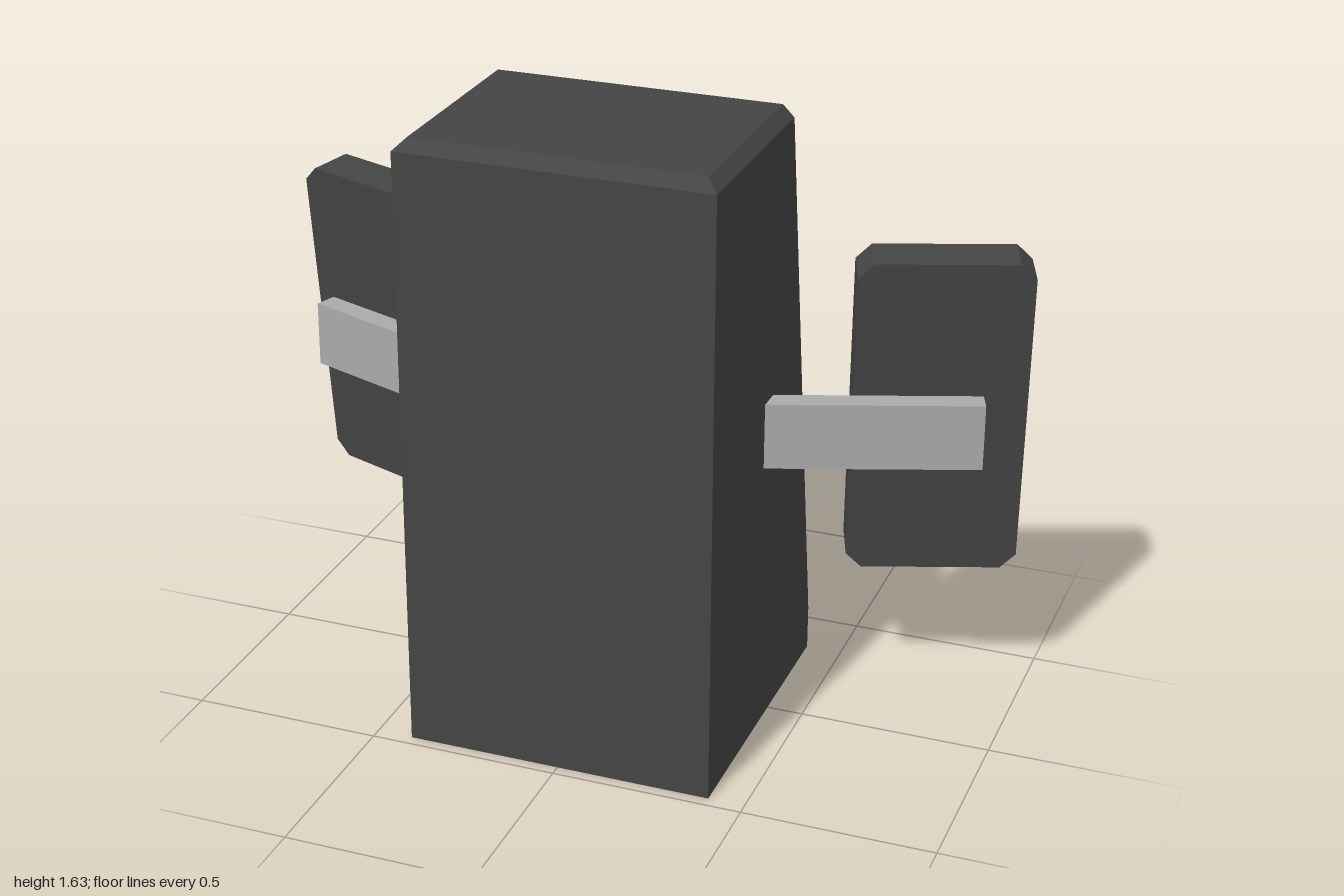
import * as THREE from 'three';
import { ConvexGeometry } from 'three/addons/geometries/ConvexGeometry.js';

const material = (name, color) => new THREE.MeshStandardMaterial({ name, color });
const V = (x, y, z) => new THREE.Vector3(x, y, z);

export function createModel() {
  const casing = material('charcoal casing', 0x444444);
  const rim = material('violet rim', 0x4310c8);
  const coneColor = material('dark violet cone', 0x330d8c);
  const metal = material('light grey bracket', 0xaaaaaa);
  const TILT = THREE.MathUtils.degToRad(5);
  const YAW = THREE.MathUtils.degToRad(20);

  const model = new THREE.Group();
  model.name = 'speakerSet';

  const add = (parent, name, geometry, mat, x = 0, y = 0, z = 0) => {
    const mesh = new THREE.Mesh(geometry, mat);
    mesh.name = name;
    mesh.position.set(x, y, z);
    parent.add(mesh);
    return mesh;
  };

  // Faceted solid of revolution whose axis points along -z
  const turned = (points, sides) => {
    const smooth = new THREE.LatheGeometry(points.map(([r, h]) => new THREE.Vector2(r, h)), sides);
    const g = smooth.toNonIndexed();
    g.rotateX(-Math.PI / 2);
    g.computeVertexNormals();
    return g;
  };

  // Speaker driver: rim with a recessed cone; its face lies at local z = 0
  const driver = (parent, name, r, depth, recess, x, y, z) => {
    const g = new THREE.Group();
    g.name = name;
    g.position.set(x, y, z);
    const inner = r * 0.76, lip = r * 0.7;
    add(g, 'rim', turned([[r, -depth], [r, 0], [inner, 0], [lip, -recess * 0.5]], 12), rim);
    add(g, 'cone', turned([[lip, -recess * 0.5], [0, -recess]], 12), coneColor);
    parent.add(g);
    return g;
  };

  // Main cabinet: flat back, sloping bevelled driver face
  const corners = [];
  for (const s of [-1, 1]) {
    corners.push(
      V(s * 0.405, 0, 0.47), V(s * 0.405, 1.6, 0.47), V(s * 0.375, 1.63, 0.44),
      V(s * 0.375, 1.63, -0.10), V(s * 0.405, 1.6, -0.10), V(s * 0.405, 1.43, -0.10),
      V(s * 0.405, 0.12, -0.345), V(s * 0.405, 0, -0.345),
      V(s * 0.34, 1.525, -0.185), V(s * 0.34, 0.1, -0.43), V(s * 0.34, 0, -0.43),
      V(s * 0.14, 1.45, -0.245), V(s * 0.14, 0.22, -0.43)
    );
  }
  add(model, 'cabinet', new ConvexGeometry(corners), casing);

  // Cabinet drivers and the small round port at the foot
  driver(model, 'largeDriver', 0.285, 0.122, 0.075, 0, 1.155, -0.39).rotation.x = TILT;
  driver(model, 'mediumDriver', 0.2, 0.08, 0.042, 0, 0.583, -0.427).rotation.x = TILT;
  add(model, 'port', turned([[0.085, -0.06], [0.085, 0], [0, 0]], 8), coneColor, 0, 0.12, -0.47);

  // Satellite outline: upright rectangle with clipped corners
  const w = 0.22, h = 0.44, c = 0.04, d = 0.115;
  const outline = new THREE.Shape([
    [-w + c, -h], [w - c, -h], [w, -h + c], [w, h - c],
    [w - c, h], [-w + c, h], [-w, h - c], [-w, -h + c],
  ].map(([x, y]) => new THREE.Vector2(x, y)));
  const satelliteShell = new THREE.ExtrudeGeometry(outline, { depth: d, bevelEnabled: false });
  satelliteShell.translate(0, 0, -d / 2);

  for (const s of [-1, 1]) {
    const side = s > 0 ? 'left' : 'right';

    // Bracket arm and joint
    add(model, side + 'Arm', new THREE.BoxGeometry(0.645, 0.175, 0.06), metal,
      s * 0.604, 0.823, -0.024).rotation.y = s * YAW;
    add(model, side + 'Joint', new THREE.BoxGeometry(0.095, 0.095, 0.14), metal,
      s * 0.77, 0.825, -0.155).rotation.y = s * YAW;

    // Satellite, turned inward and leaning back
    const satellite = new THREE.Group();
    satellite.name = side + 'Satellite';
    satellite.position.set(s * 0.76, 0.818, -0.242);
    satellite.rotation.set(TILT, s * YAW, 0, 'YXZ');
    add(satellite, 'shell', satelliteShell, casing);
    driver(satellite, 'upperDriver', 0.16, 0.06, 0.05, 0, 0.155, -d / 2 - 0.058);
    driver(satellite, 'lowerDriver', 0.13, 0.06, 0.05, 0, -0.23, -d / 2 - 0.058);
    model.add(satellite);
  }

  return model;
}
